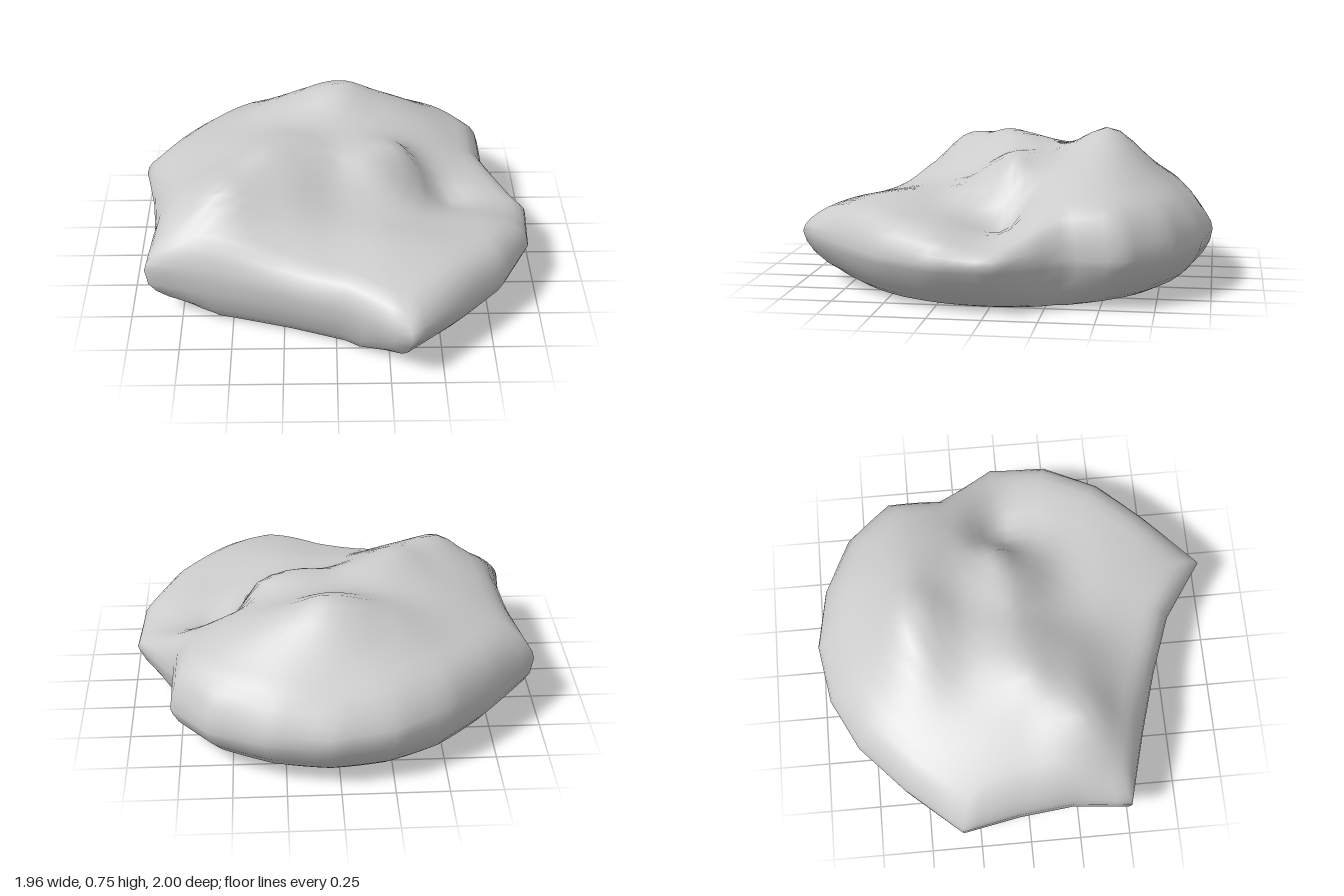
import * as THREE from 'three';

// Plan outline at the widest level, as [x, z]
const OUTLINE = [
  [0.05, -1], [0.34, -0.95], [0.61, -0.82], [0.79, -0.61], [0.79, -0.33],
  [0.98, -0.04], [0.96, 0.25], [0.82, 0.52], [0.6, 0.75], [0.34, 1],
  [0.05, 0.8], [-0.25, 0.69], [-0.55, 0.6], [-0.92, 0.5], [-0.89, 0.22],
  [-0.92, -0.05], [-0.98, -0.34], [-0.74, -0.61], [-0.51, -0.82], [-0.25, -0.95],
];

// Heights of the upper face: rows run z = -1..1, columns x = -1..1
const HEIGHTS = [
  [0.25, 0.28, 0.32, 0.35, 0.36, 0.36, 0.33, 0.30, 0.28],
  [0.30, 0.39, 0.46, 0.51, 0.53, 0.52, 0.46, 0.39, 0.32],
  [0.37, 0.46, 0.55, 0.66, 0.74, 0.67, 0.56, 0.44, 0.36],
  [0.38, 0.50, 0.59, 0.64, 0.65, 0.62, 0.53, 0.41, 0.33],
  [0.37, 0.52, 0.62, 0.68, 0.63, 0.61, 0.38, 0.33, 0.29],
  [0.38, 0.53, 0.64, 0.61, 0.51, 0.46, 0.40, 0.38, 0.33],
  [0.34, 0.43, 0.48, 0.46, 0.44, 0.45, 0.43, 0.39, 0.33],
  [0.25, 0.30, 0.33, 0.35, 0.38, 0.41, 0.40, 0.36, 0.30],
  [0.20, 0.24, 0.26, 0.28, 0.30, 0.33, 0.31, 0.28, 0.25],
];

// Local knobs and hollows: [x, z, radius, height]
const BUMPS = [
  [-0.57, 0.36, 0.12, 0.05], [-0.35, 0.07, 0.1, 0.025], [0.09, -0.47, 0.1, 0.015],
  [0.37, -0.05, 0.09, 0.07], [0.56, -0.05, 0.1, -0.04],
];

// Catmull-Rom sample of nine evenly spaced values, t in -1..1
function sample(values, t) {
  const u = THREE.MathUtils.clamp((t + 1) * 4, 0, 7.999);
  const i = Math.floor(u), f = u - i;
  const at = (k) => values[THREE.MathUtils.clamp(k, 0, 8)];
  const [a, b, c, d] = [at(i - 1), at(i), at(i + 1), at(i + 2)];
  return b + 0.5 * f * (c - a + f * (2 * a - 5 * b + 4 * c - d + f * (3 * (b - c) + d - a)));
}

function topHeight(x, z) {
  let h = sample(HEIGHTS.map((row) => sample(row, x)), z);
  for (const [bx, bz, r, height] of BUMPS) {
    h += height * Math.exp(-((x - bx) ** 2 + (z - bz) ** 2) / (r * r));
  }
  return h;
}

// Round hollow in the underside: [radius, height]
const HOLLOW = [[0.12, 0.165], [0.24, 0.145], [0.36, 0.1], [0.47, 0.05], [0.56, 0.015], [0.63, 0.003]];
// Flank from foot to rim: [share of the way outwards, height]
const FLANK = [[0, 0.002], [0.18, 0.014], [0.4, 0.042], [0.62, 0.085], [0.83, 0.145], [0.95, 0.2]];
// Upper face: [scale, share of the way from rim height to top height]
const UPPER = [
  [1, 0], [0.99, 0.38], [0.965, 0.7], [0.93, 0.9], [0.88, 1], [0.82, 1], [0.75, 1], [0.68, 1],
  [0.61, 1], [0.54, 1], [0.47, 1], [0.39, 1], [0.31, 1], [0.23, 1], [0.15, 1], [0.07, 1],
];
const STEPS = 4; // segments along each outline edge

function rockGeometry() {
  const rim = [];
  OUTLINE.forEach(([x, z], i) => {
    const [nx, nz] = OUTLINE[(i + 1) % OUTLINE.length];
    for (let k = 0; k < STEPS; k++) {
      const f = k / STEPS;
      rim.push([x + (nx - x) * f, z + (nz - z) * f]);
    }
  });
  const n = rim.length;
  const rimY = (x) => 0.26 - 0.03 * x;
  // The foot is rounder than the rim, so the corners overhang it
  const footScale = ([x, z]) => Math.min(0.86, 0.75 / Math.hypot(x, z));

  const pos = [0, 0.172, 0];
  const addRing = (place) => rim.forEach((p) => {
    const [s, y] = place(p);
    pos.push(p[0] * s, y, p[1] * s);
  });
  for (const [r, y] of HOLLOW) addRing(([x, z]) => [r / Math.hypot(x, z), y]);
  for (const [t, y] of FLANK) addRing((p) => [THREE.MathUtils.lerp(footScale(p), 1, t), y]);
  for (const [s, f] of UPPER) {
    addRing((p) => [s, THREE.MathUtils.lerp(rimY(p[0]), topHeight(p[0] * s, p[1] * s), f)]);
  }
  pos.push(0, topHeight(0, 0), 0);

  const rings = HOLLOW.length + FLANK.length + UPPER.length;
  const summit = 1 + rings * n;
  const last = summit - n;
  const index = [];
  for (let j = 0; j < n; j++) {
    const k = (j + 1) % n;
    index.push(0, 1 + j, 1 + k);
    for (let r = 0; r < rings - 1; r++) {
      const a = 1 + r * n + j, b = 1 + r * n + k;
      index.push(a, a + n, b, b, a + n, b + n);
    }
    index.push(last + j, summit, last + k);
  }

  const geometry = new THREE.BufferGeometry();
  geometry.setAttribute('position', new THREE.Float32BufferAttribute(pos, 3));
  geometry.setIndex(index);
  geometry.computeVertexNormals();
  return geometry;
}

export function createModel() {
  const model = new THREE.Group();
  model.name = 'boulder';
  const rock = new THREE.Mesh(rockGeometry(), new THREE.MeshStandardMaterial({ color: 0xcccccc }));
  rock.name = 'rock';
  model.add(rock);
  return model;
}
